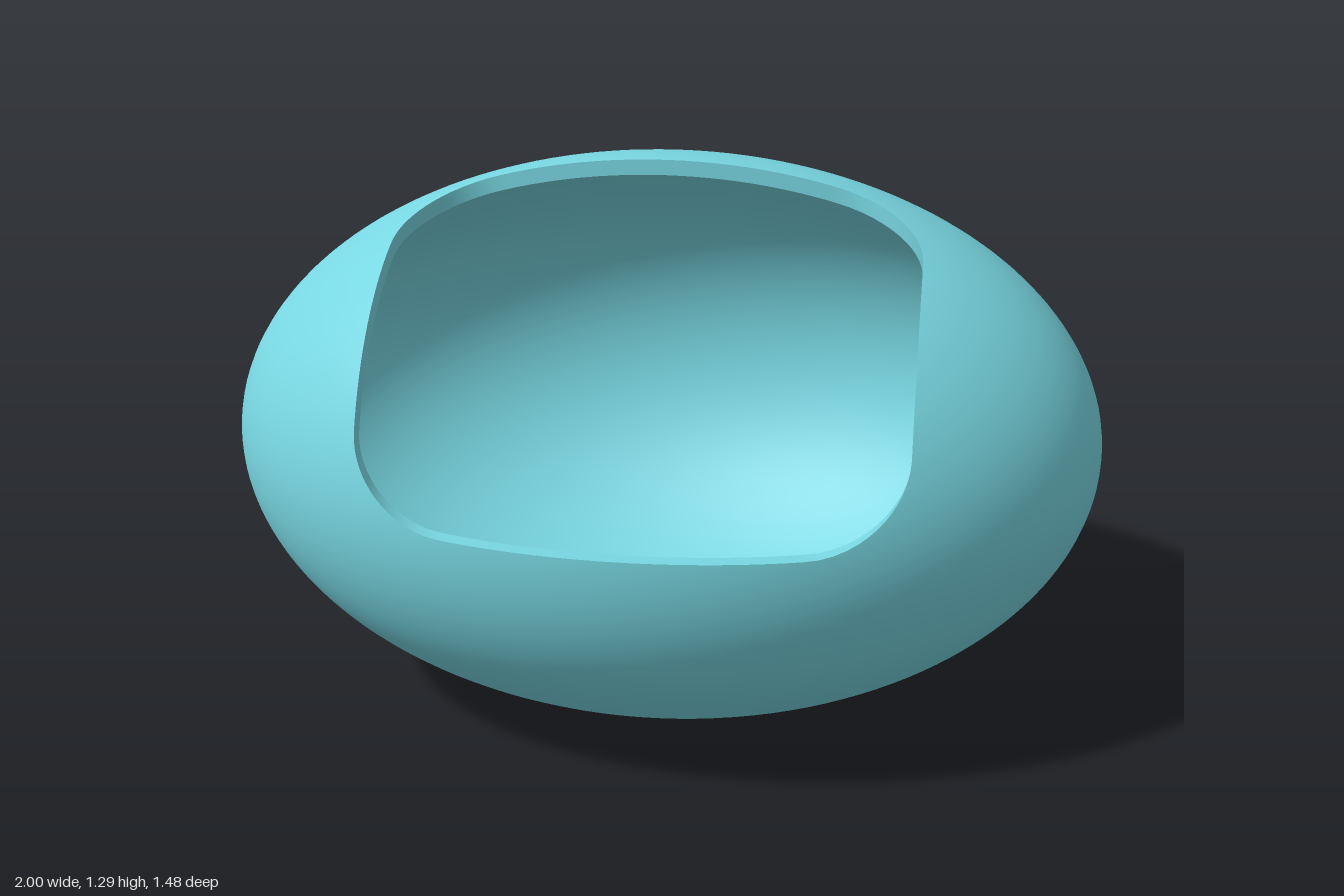
import * as THREE from 'three';

const OUTER = new THREE.Vector3(1, 0.645, 0.74);
const INNER = new THREE.Vector3(0.965, 0.61, 0.705);
const COUNT = 160; // points round the opening
const ROWS = 48; // rings from the opening to the far side

// Opening as a rounded rectangle: x across, angle about the x axis upward
function openingOutline() {
  const w = 0.58, top = Math.PI / 2, rx = 0.2, ra = 0.36, q = Math.PI / 2;
  const s = new THREE.Shape();
  s.moveTo(-w + rx, 0);
  s.lineTo(w - rx, 0);
  s.absellipse(w - rx, ra, rx, ra, -q, 0);
  s.lineTo(w, top - ra);
  s.absellipse(w - rx, top - ra, rx, ra, 0, q);
  s.lineTo(-w + rx, top);
  s.absellipse(-w + rx, top - ra, rx, ra, q, 2 * q);
  s.lineTo(-w, ra);
  s.absellipse(-w + rx, ra, rx, ra, 2 * q, 3 * q);
  return s.getSpacedPoints(COUNT).slice(0, COUNT);
}

// Rim point as a direction on the unit sphere of one ellipsoid
function rimDirection(p, axes) {
  const x = p.x / axes.x, r = Math.sqrt(1 - x * x);
  return new THREE.Vector3(x, r * Math.sin(p.y), r * Math.cos(p.y));
}

const place = (u, axes) => u.clone().multiply(axes).add(new THREE.Vector3(0, OUTER.y, 0));

// Closed rings of points joined into a surface
function loft(rings, flip) {
  const index = [], n = rings[0].length;
  for (let j = 0; j < rings.length - 1; j++) {
    for (let i = 0; i < n; i++) {
      const k = (i + 1) % n;
      const a = j * n + i, b = a + n, c = (j + 1) * n + k, d = j * n + k;
      if (flip) index.push(a, c, b, a, d, c);
      else index.push(a, b, c, a, c, d);
    }
  }
  const g = new THREE.BufferGeometry().setFromPoints(rings.flat());
  g.setIndex(index);
  g.computeVertexNormals();
  return g;
}

// Ellipsoid skin spreading from the opening to the point opposite it
function skin(outline, axes, inside) {
  const far = new THREE.Vector3(0, -1, -1).normalize();
  const rings = [], normals = [];
  const starts = outline.map((p) => rimDirection(p, axes));
  for (let j = 0; j <= ROWS; j++) {
    const t = j / ROWS;
    rings.push(starts.map((u) => {
      const angle = u.angleTo(far);
      const v = u.clone().multiplyScalar(Math.sin((1 - t) * angle))
        .addScaledVector(far, Math.sin(t * angle)).normalize();
      const n = v.clone().divide(axes).normalize().multiplyScalar(inside ? -1 : 1);
      normals.push(n.x, n.y, n.z);
      return place(v, axes);
    }));
  }
  const g = loft(rings, inside);
  g.setAttribute('normal', new THREE.Float32BufferAttribute(normals, 3));
  return g;
}

export function createModel() {
  const group = new THREE.Group();
  group.name = 'hollowShell';
  const material = new THREE.MeshStandardMaterial({ color: 0x78d7e2 });
  const outline = openingOutline();
  const add = (name, geometry) => {
    const mesh = new THREE.Mesh(geometry, material);
    mesh.name = name;
    group.add(mesh);
  };

  add('outerShell', skin(outline, OUTER, false));
  add('innerShell', skin(outline, INNER, true));

  // Cut edge joining the two skins
  const edge = (axes) => outline.map((p) => place(rimDirection(p, axes), axes));
  add('openingRim', loft([edge(INNER), edge(OUTER)], false));
  return group;
}
